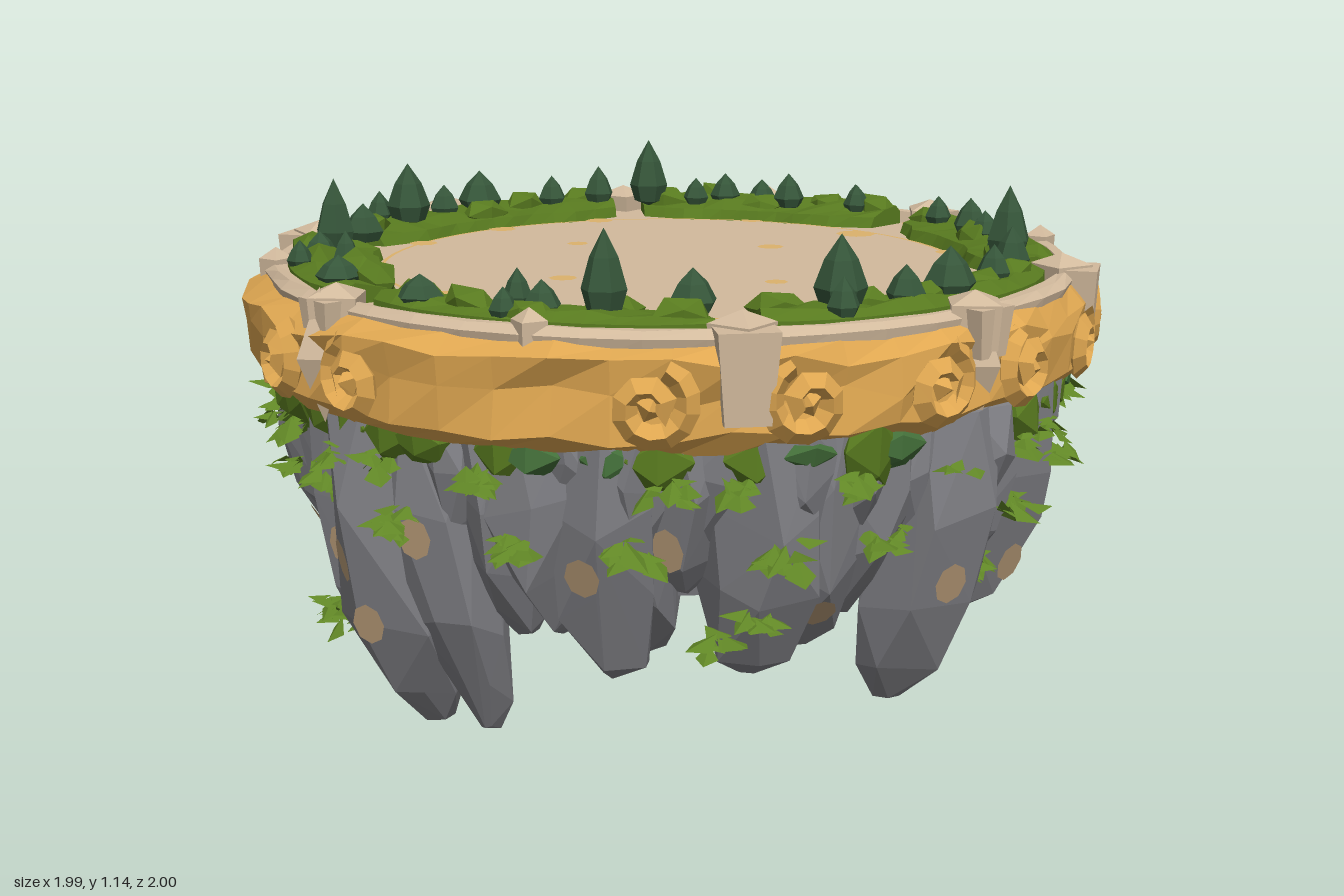
import * as THREE from 'three';
import { mergeGeometries } from 'three/addons/utils/BufferGeometryUtils.js';
import { ConvexGeometry } from 'three/addons/geometries/ConvexGeometry.js';

const D = Math.PI / 180;
let seed = 7;
const rnd = () => (seed = (seed * 16807) % 2147483647) / 2147483647;
const jit = (s) => (rnd() - 0.5) * 2 * s;
// point at angle a (degrees from +z towards +x), radius r, height y
const polar = (a, r, y) => new THREE.Vector3(r * Math.sin(a * D), y, r * Math.cos(a * D));
// the band swells slightly at front and back
const bulge = (a) => 0.014 * Math.cos(2 * a * D);

function flat(geo) {
  const g = geo.index ? geo.toNonIndexed() : geo;
  g.deleteAttribute('uv');
  g.computeVertexNormals();
  return g;
}

// ring or arc swept from a closed profile [[radius, height], ...], outer side first, going up
function sweep(profileAt, a0, a1, n) {
  const pos = [], idx = [];
  const m = profileAt(a0).length, full = a1 - a0 === 360;
  const rows = full ? n : n + 1;
  for (let i = 0; i < rows; i++) {
    const a = a0 + (a1 - a0) * i / n;
    for (const [r, y] of profileAt(a)) pos.push(...polar(a, r, y).toArray());
  }
  for (let i = 0; i < n; i++) for (let j = 0; j < m; j++) {
    const i2 = (i + 1) % rows, k = (j + 1) % m;
    const p = i * m + j, q = i2 * m + j, s = i2 * m + k, t = i * m + k;
    idx.push(p, q, s, p, s, t);
  }
  if (!full) for (let j = 1; j < m - 1; j++) {
    const e = n * m;
    idx.push(0, j, j + 1, e, e + j + 1, e + j);
  }
  const g = new THREE.BufferGeometry();
  g.setAttribute('position', new THREE.Float32BufferAttribute(pos, 3));
  g.setIndex(idx);
  return flat(g);
}

// chiselled hanging rock that leans inwards and narrows to a blunt tip
function rockGeometry(a, r, w, bottom, top = 0.75) {
  const pts = [];
  for (const [t, s] of [[0, 0.88], [0.3, 1], [0.62, 0.95], [0.85, 0.62], [1, 0.22]]) {
    const c = polar(a, r - 0.13 * t * t, top + (bottom - top) * t);
    for (let k = 0; k < 6; k++) {
      const b = (k + jit(0.35)) * 60 * D + a * D, q = w * s * (1 + jit(0.15));
      pts.push(new THREE.Vector3(c.x + Math.sin(b) * q, c.y + (t < 1 && t > 0 ? jit(0.04) : rnd() * 0.02), c.z + Math.cos(b) * q));
    }
  }
  return new ConvexGeometry(pts);
}

// lumpy faceted blob
function blob(c, sx, sy, sz, ry = 0) {
  const g = new THREE.IcosahedronGeometry(1, 0), p = g.attributes.position, seen = {};
  for (let i = 0; i < p.count; i++) {
    const key = [p.getX(i), p.getY(i), p.getZ(i)].map((v) => v.toFixed(2)).join();
    const f = seen[key] ??= 1 + jit(0.2);
    p.setXYZ(i, p.getX(i) * f * sx, p.getY(i) * f * sy, p.getZ(i) * f * sz);
  }
  return flat(g.rotateY(ry).translate(c.x, c.y, c.z));
}

// tuft of folded diamond leaves spreading from a point
function tuft(c, a, size) {
  const leaves = [];
  for (let i = 0; i < 10; i++) {
    const l = size * (0.65 + rnd() * 0.45), w = l * 0.42;
    const g = new THREE.BufferGeometry();
    g.setAttribute('position', new THREE.Float32BufferAttribute(
      [0, 0, 0, w, -w * 0.4, l * 0.5, 0, 0, l, 0, 0, 0, 0, 0, l, -w, -w * 0.4, l * 0.5], 3));
    g.rotateX(0.45 + jit(0.5)).rotateY((a + jit(95)) * D);
    g.translate(c.x + jit(size * 0.4), c.y + jit(size * 0.25), c.z + jit(size * 0.4));
    g.computeVertexNormals();
    leaves.push(g);
  }
  return mergeGeometries(leaves);
}

export function createModel() {
  seed = 7;
  const root = new THREE.Group();
  const mat = (name, color, side = THREE.FrontSide) => new THREE.MeshStandardMaterial({ name, color, side });
  const stone = mat('pale stone', 0xd2ba9d), gold = mat('gold', 0xdfa751), grass = mat('grass', 0x587a1f);
  const pine = mat('dark pine', 0x36563a), rock = mat('grey rock', 0x828287);
  const leaf = mat('leaf green', 0x618726, THREE.DoubleSide), moss = mat('moss', 0x44703a), tan = mat('tan patch', 0xb99c78);
  const inlay = mat('floor inlay', 0xdcb26c);
  const add = (name, geo, m) => {
    const mesh = new THREE.Mesh(geo, m);
    mesh.name = name;
    root.add(mesh);
    return mesh;
  };

  // floor slab with inlaid spots and thin border
  add('floor', flat(new THREE.CylinderGeometry(0.88, 0.88, 0.19, 48).translate(0, 0.845, 0)), stone);
  add('floorBorder', new THREE.RingGeometry(0.66, 0.669, 64).rotateX(-Math.PI / 2).translate(0, 0.943, 0), inlay);
  const spots = [[0, 0.62, 0.05], [0, 0.32, 0.032], [90, 0.345, 0.026], [90, 0.65, 0.035], [65, 0.66, 0.035], [115, 0.66, 0.035], [30, 0.67, 0.03]];
  for (const [a, r, s] of spots) for (const b of [a, a + 180, ...(a % 90 ? [-a, 180 - a] : [])]) {
    const p = polar(b, r, 0.9435);
    add('floorSpot', new THREE.CircleGeometry(s, 8).rotateX(-Math.PI / 2).translate(p.x, p.y, p.z), inlay);
  }

  // stone rim and carved gold band
  add('rim', sweep(() => [[0.905, 0.9], [0.918 + jit(0.006), 0.955], [0.9, 0.97 + jit(0.004)], [0.878 + jit(0.006), 0.968], [0.862, 0.92]], 0, 360, 48), stone);
  add('goldBand', sweep((a) => {
    const b = bulge(a);
    return [[0.8, 0.75], [0.905 + b, 0.735 + jit(0.012)], [0.95 + b + jit(0.014), 0.775 + jit(0.018)],
      [0.946 + b + jit(0.016), 0.85 + jit(0.03)], [0.955 + b + jit(0.012), 0.91 + jit(0.018)], [0.91, 0.945 + jit(0.008)], [0.8, 0.93]];
  }, 0, 360, 52), gold);

  // chunky gold scrolls in facing pairs beside the posts
  class Spiral extends THREE.Curve {
    getPoint(t, v = new THREE.Vector3()) {
      const r = 0.078 * (1 - 0.72 * t), b = Math.PI * (0.5 + 2.6 * t);
      return v.set(Math.cos(b) * r, Math.sin(b) * r, 0.012 * t);
    }
  }
  const scroll = flat(new THREE.TubeGeometry(new Spiral(), 13, 0.025, 4));
  const knob = flat(new THREE.OctahedronGeometry(0.03).translate(0, 0, 0.01));
  for (const a of [0, 55, 90, 125, 180, 235, 270, 305]) for (const s of [-1, 1]) {
    const b = a + s * (a % 90 ? 9 : 8), holder = new THREE.Group();
    holder.name = 'scroll';
    holder.position.copy(polar(b, 0.948 + bulge(b), 0.835));
    holder.rotation.set(0, b * D, (s > 0 ? 0.4 : -0.4), 'YXZ');
    holder.scale.x = s;
    holder.add(new THREE.Mesh(scroll, gold), new THREE.Mesh(knob, gold));
    root.add(holder);
  }

  // stone posts: kite cap with pyramid, block hanging over the band, facing diamond
  const post = (a, r, s, w, drop, face) => {
    const parts = [new THREE.CylinderGeometry(s, s * 0.9, 0.09, 4).translate(0, 0.935, 0),
      new THREE.ConeGeometry(s, 0.025, 4).translate(0, 0.992, 0)].map(flat);
    if (w) parts.push(flat(new THREE.CylinderGeometry(w, w * 0.75, drop, 4, 1).rotateY(Math.PI / 4)
      .scale(1, 1, 0.6).translate(0, 0.975 - drop / 2, 0.93 - r)));
    if (face) parts.push(flat(new THREE.OctahedronGeometry(1).scale(0.07, 0.14, 0.06).translate(0, 0.86, 0.925 - r + bulge(a))));
    add('post', mergeGeometries(parts).rotateY(a * D).translate(r * Math.sin(a * D), 0, r * Math.cos(a * D)), stone);
  };
  for (const a of [0, 90, 180, 270]) post(a, 0.9, 0.07, 0.07, 0.1, true);
  for (const a of [57, 123, 237, 303]) post(a, 0.885, 0.068, 0.085, 0.18, false);
  for (const a of [31, 149, 211, 329]) post(a, 0.895, 0.038, 0, 0, false);

  // six grass beds, narrowing at their ends, with low hedge lumps
  for (const [a0, a1] of [[4, 54], [60, 120], [126, 176], [184, 234], [240, 300], [306, 356]]) {
    add('grassBed', sweep((a) => {
      const e = 0.055 * Math.max(0, 1 - Math.min(a - a0, a1 - a) / 8);
      return [[0.872 - e * 0.3, 0.93], [0.87 - e * 0.3, 0.972], [0.83 + jit(0.012), 0.988 + jit(0.01)], [0.755 + e * 0.5 + jit(0.015), 0.977 + jit(0.01)],
        [0.69 + e + jit(0.008), 0.966], [0.672 + e, 0.93]];
    }, a0, a1, 12), grass);
    for (let i = 0; i < 5; i++) {
      const a = a0 + (a1 - a0) * (0.08 + 0.21 * i);
      add('grassTuft', blob(polar(a, 0.78 + jit(0.05), 0.975), 0.065, 0.03 + rnd() * 0.015, 0.045, a * D), grass);
    }
  }

  // pines and bushes: x, z, tip height, radius
  const trees = [[0.48, 0.6, 1.14, 0.046], [0.61, -0.46, 1.14, 0.05], [0.745, 0.22, 1.12, 0.054], [0.8, -0.04, 1.075, 0.056], [0.58, 0.46, 1.06, 0.05],
    [0.7, -0.36, 1.07, 0.04], [0.79, 0.08, 1.05, 0.04], [0.75, -0.24, 1.05, 0.038], [0.4, 0.69, 1.04, 0.04], [0.31, 0.68, 1.05, 0.03],
    [0.15, 0.8, 1.03, 0.05], [0.37, 0.76, 1.03, 0.03], [0.31, -0.69, 1.06, 0.042], [0.38, -0.66, 1.04, 0.038], [0.48, -0.62, 1.05, 0.04],
    [0.14, -0.77, 1.04, 0.034], [0.2, -0.83, 1.03, 0.03], [0.52, -0.55, 1.04, 0.034], [0.8, 0.27, 1.05, 0.034]];
  for (const [x, z, tip, r] of trees) for (const s of [-1, 1]) {
    const h = tip - 0.965;
    const profile = [[0, 0], [0.75, 0.08], [1, 0.32], [0.62, 0.68], [0, 1]].map(([u, v]) => new THREE.Vector2(u * r, v * h));
    add(h > 0.09 ? 'pine' : 'bush', flat(new THREE.LatheGeometry(profile, 6).rotateY(rnd() * 3).translate(s * x, 0.965, z)), pine);
  }

  // rock core with flat underside
  add('core', flat(new THREE.CylinderGeometry(0.82, 0.71, 0.38, 28, 1, true).translate(0, 0.57, 0)), rock);
  add('underside', new THREE.CircleGeometry(0.72, 28).rotateX(Math.PI / 2).translate(0, 0.38, 0), rock);

  // hanging rocks: angle, radius, width, lowest point, mirrored left and right
  const rocks = [];
  const hang = (a, r, w, b, top) => rocks.push(add('hangingRock', rockGeometry(a, r, w, b, top), rock));
  const half = [[12, 0.79, 0.11, 0.01], [22, 0.8, 0.09, 0.25], [30, 0.81, 0.11, 0.28], [39, 0.8, 0.125, 0.18], [50, 0.81, 0.1, 0.37], [62, 0.8, 0.13, 0.19],
    [71, 0.82, 0.09, 0.25], [79, 0.82, 0.09, 0.3], [90, 0.83, 0.14, 0.08], [102, 0.82, 0.09, 0.29], [112, 0.81, 0.13, 0.2], [122, 0.81, 0.1, 0.36],
    [132, 0.81, 0.11, 0.36], [141, 0.8, 0.1, 0.28], [150, 0.8, 0.125, 0.2], [160, 0.8, 0.1, 0.27], [169, 0.79, 0.115, 0.03]];
  for (const [a, r, w, b] of half) for (const s of [-1, 1]) {
    hang(s * a, r, w, b);
    hang(s * (a + 4.5), r + 0.04, w * 0.6, 0.47 + jit(0.1));
    if (w > 0.1) hang(s * (a + 6), 0.74, w * 0.5, Math.max(b + 0.06, 0.24) + jit(0.04), 0.55);
  }
  for (const a of [0, 180]) hang(a, 0.81, 0.14, 0);
  root.updateMatrixWorld(true);

  // first rock surface met from outside at an angle and height
  const ray = new THREE.Raycaster();
  const onRock = (a, y) => {
    ray.set(polar(a, 1.5, y), polar(a + 180, 1, 0));
    return ray.intersectObjects(rocks)[0];
  };

  // worn tan patches
  for (const [a, y] of [[-10, 0.4], [2, 0.28], [-37, 0.34], [37, 0.47], [70, 0.36], [88, 0.4], [48, 0.52], [112, 0.34], [130, 0.48], [155, 0.38], [178, 0.42],
    [200, 0.33], [232, 0.45], [248, 0.34], [265, 0.4], [290, 0.48], [12, 0.5], [0, 0.42]]) {
    const h = onRock(a, y);
    if (!h) continue;
    const m = add('wornPatch', new THREE.CircleGeometry(0.036, 8).scale(1, 1.35, 1), tan);
    m.position.copy(h.point).addScaledVector(h.face.normal, 0.004);
    m.lookAt(m.position.clone().add(h.face.normal));
  }

  // drooping greenery under the band
  for (let a = 0; a < 360; a += 8) {
    const lush = rnd();
    add('hangingMoss', blob(polar(a + jit(3), 0.875, 0.715), 0.07, 0.035 + lush * 0.065, 0.05, a * D), lush > 0.35 ? grass : moss);
    if (lush > 0.55) add('trailingLeaves', tuft(polar(a, 0.895, 0.67), a, 0.07), leaf);
  }

  // leaf tufts growing on the rocks
  for (const [a, y] of [[-65, 0.54], [-27, 0.54], [-8, 0.57], [10, 0.56], [43, 0.54], [62, 0.54], [78, 0.53], [102, 0.53], [-47, 0.56], [-79, 0.54],
    [-104, 0.53], [132, 0.53], [-132, 0.53], [160, 0.55], [-158, 0.54], [180, 0.56], [-50, 0.31], [-13, 0.25], [-16, 0.22], [55, 0.32], [60, 0.4],
    [100, 0.4], [-100, 0.38], [145, 0.36], [-148, 0.3], [172, 0.22], [28, 0.55], [-90, 0.58], [116, 0.6], [-118, 0.6]]) {
    const h = onRock(a, y);
    if (h) add('leafTuft', tuft(h.point, a, 0.075), leaf);
  }
  return root;
}
